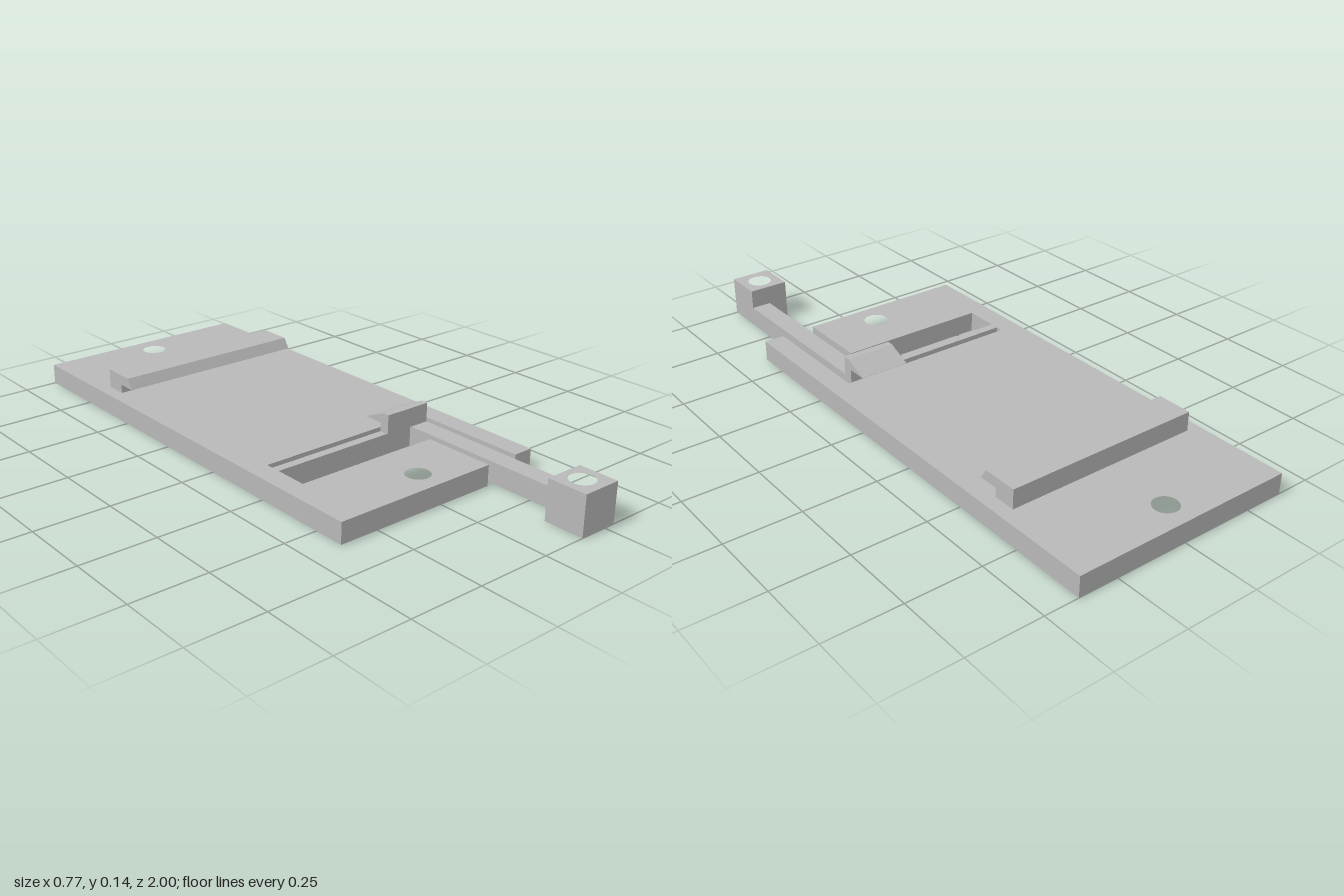
import * as THREE from 'three';

const HOLE_R = 0.041;

// Flat outline given as [x, z], extruded upwards from y = 0, with round holes
function slab(points, holes, height, material, name) {
  const shape = new THREE.Shape(points.map(([x, z]) => new THREE.Vector2(x, -z)));
  for (const [x, z] of holes) {
    shape.holes.push(new THREE.Path().absarc(x, -z, HOLE_R, 0, Math.PI * 2, true));
  }
  const geometry = new THREE.ExtrudeGeometry(shape, { depth: height, bevelEnabled: false, curveSegments: 24 });
  geometry.rotateX(-Math.PI / 2);
  const mesh = new THREE.Mesh(geometry, material);
  mesh.name = name;
  return mesh;
}

// Side profile given as [z, y], extruded from x0 to x1
function hook(points, x0, x1, material, name) {
  const shape = new THREE.Shape(points.map(([z, y]) => new THREE.Vector2(-z, y)));
  const geometry = new THREE.ExtrudeGeometry(shape, { depth: x1 - x0, bevelEnabled: false });
  geometry.rotateY(Math.PI / 2).translate(x0, 0, 0);
  const mesh = new THREE.Mesh(geometry, material);
  mesh.name = name;
  return mesh;
}

export function createModel() {
  const group = new THREE.Group();
  group.name = 'clipMountPlate';
  const grey = new THREE.MeshStandardMaterial({ color: 0xb8b8b8 });
  grey.name = 'grey plastic';
  const T = 0.07, H = 0.135;

  // Base plate and its L-shaped spring arm, cut free by slots
  group.add(slab([
    [-0.385, -1], [0.385, -1], [0.385, 0.605], [0.315, 0.605],
    [0.315, 0.185], [-0.315, 0.185], [-0.315, 0.21],   // rear slot
    [0.29, 0.21], [0.29, 0.865], [0.222, 0.865],       // spring arm
    [0.222, 0.24], [-0.315, 0.24], [-0.315, 0.355],    // front slot
    [0.197, 0.355], [0.197, 0.605], [-0.385, 0.605],
  ], [[-0.01, -0.91], [-0.01, 0.515]], T, grey, 'basePlate'));

  // Release tab at the end of the arm
  group.add(slab([[0.153, 0.865], [0.29, 0.865], [0.29, 1], [0.153, 1]],
    [[0.222, 0.93]], H, grey, 'releaseTab'));

  // Fixed retaining ledge at the rear
  group.add(hook([
    [-0.675, T], [-0.675, H], [-0.555, H], [-0.533, 0.1], [-0.6, 0.1], [-0.6, T],
  ], -0.34, 0.337, grey, 'rearLedge'));

  // Sprung catch with a sloping nose
  group.add(hook([
    [0.245, T], [0.245, H], [0.222, H], [0.14, 0.1], [0.21, 0.1], [0.21, T],
  ], 0.12, 0.29, grey, 'springCatch'));

  return group;
}
